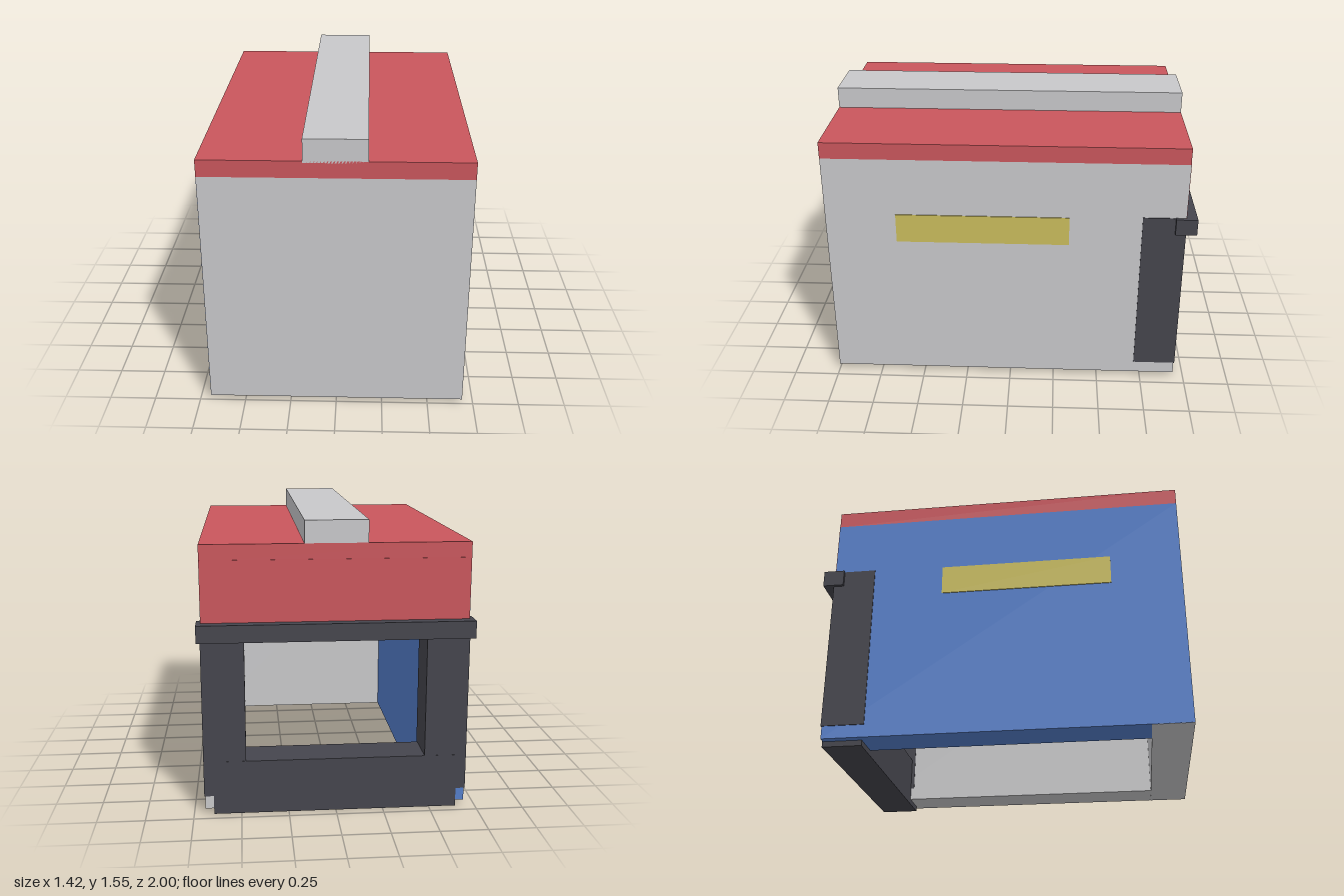
import * as THREE from 'three';

const mat = (name, color) => {
  const m = new THREE.MeshStandardMaterial({ color });
  m.name = name;
  return m;
};

export function createModel() {
  const grey = mat('pale grey', 0xc8c8ca);
  const red = mat('red', 0xc9565c);
  const blue = mat('blue', 0x547eca);
  const dark = mat('charcoal', 0x45454d);
  const yellow = mat('yellow', 0xc9bc5c);

  const model = new THREE.Group();
  model.name = 'shelter';

  // Box given by its extents along each axis
  const box = (name, material, [x0, x1], [y0, y1], [z0, z1]) => {
    const mesh = new THREE.Mesh(new THREE.BoxGeometry(x1 - x0, y1 - y0, z1 - z0), material);
    mesh.position.set((x0 + x1) / 2, (y0 + y1) / 2, (z0 + z1) / 2);
    mesh.name = name;
    model.add(mesh);
  };
  // Same box on both sides of x = 0
  const pair = (name, material, [x0, x1], y, z) => {
    box(name + 'Left', material, [x0, x1], y, z);
    box(name + 'Right', material, [-x1, -x0], y, z);
  };

  // Thick walls around an open floor
  box('leftWall', grey, [0.475, 0.69], [0.03, 1.34], [-0.94, 0.999]);
  box('rightWall', blue, [-0.69, -0.475], [0.03, 1.34], [-0.94, 0.999]);
  box('frontWall', grey, [-0.689, 0.689], [0.029, 1.34], [0.785, 1]);

  // Roof slab, ceiling, ridge and the beam over the doorway
  box('roof', red, [-0.69, 0.69], [1.34, 1.43], [-0.94, 1]);
  box('ceiling', red, [-0.48, 0.48], [1.21, 1.35], [-0.93, 0.79]);
  box('ridge', grey, [-0.162, 0.162], [1.42, 1.546], [-0.94, 1]);
  box('rearBeam', red, [-0.689, 0.689], [1.03, 1.35], [-0.942, -0.725]);

  // Dark surround of the rear opening
  pair('doorPost', dark, [0.472, 0.695], [0.1, 1.03], [-0.944, -0.71]);
  box('threshold', dark, [-0.645, 0.645], [0, 0.29], [-0.945, -0.73]);
  box('doorBar', dark, [-0.712, 0.712], [0.94, 1.031], [-1, -0.885]);

  // Yellow panels, visible inside and outside
  pair('sidePanelOuter', yellow, [0.688, 0.695], [0.857, 1.02], [-0.32, 0.617]);
  pair('sidePanelInner', yellow, [0.47, 0.477], [0.857, 1.02], [-0.32, 0.617]);

  return model;
}
